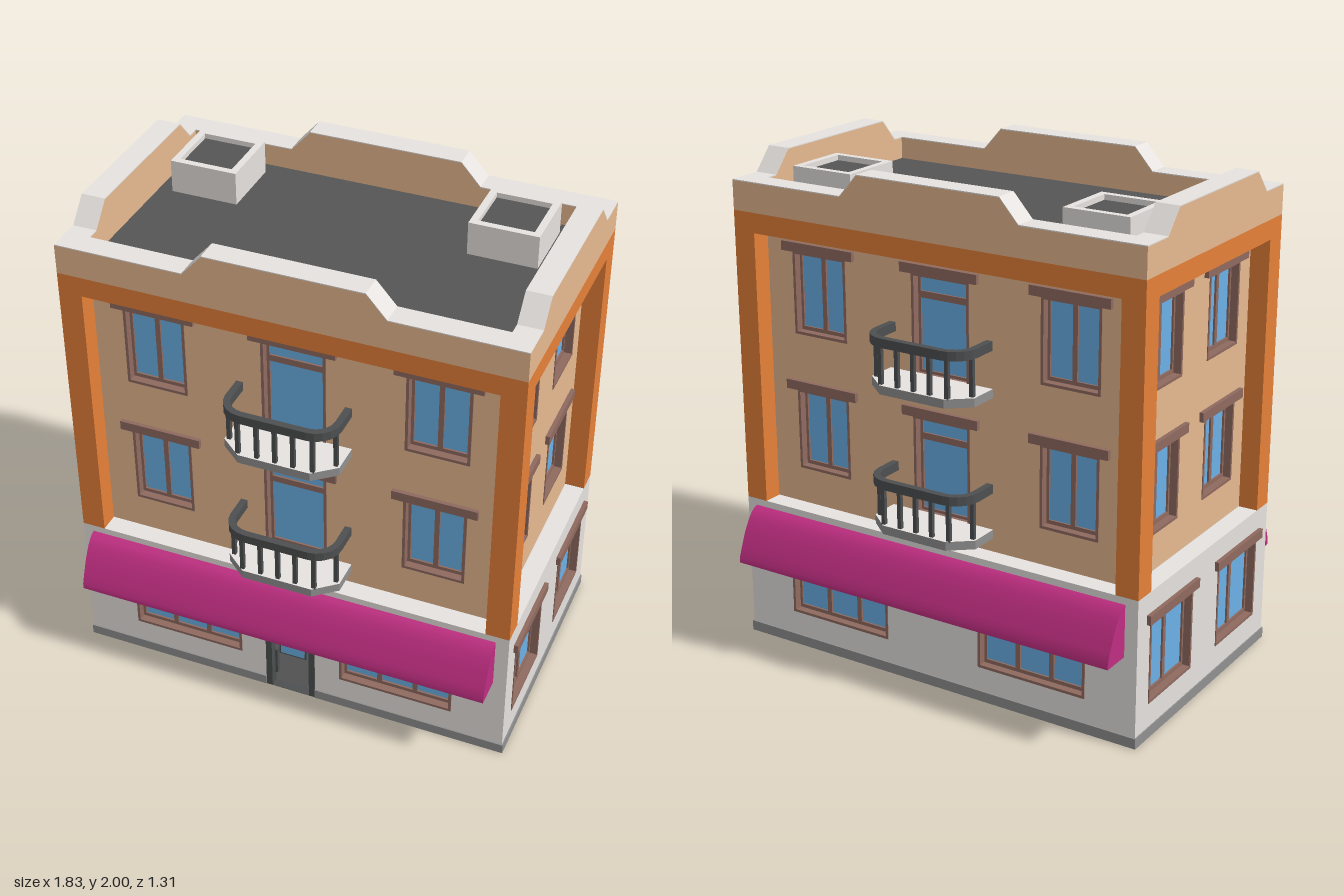
import * as THREE from 'three';

const mat = (name, color, side = THREE.FrontSide) => {
  const m = new THREE.MeshStandardMaterial({ color, side });
  m.name = name;
  return m;
};

export function createModel() {
  const M = {
    tan: mat('tan plaster', 0xe6b98f),
    orange: mat('orange trim', 0xe58039),
    stone: mat('light stone', 0xe6e2df),
    grey: mat('mid grey', 0x909090),
    door: mat('door grey', 0x7f7f7f),
    dark: mat('dark roof', 0x555555),
    iron: mat('dark iron', 0x4d4f50),
    brown: mat('brown wood', 0x8f6a5f),
    glass: mat('blue glass', 0x6cb3ea),
    pink: mat('magenta awning', 0xbf2e81, THREE.DoubleSide),
  };
  const model = new THREE.Group();
  model.name = 'building';

  const add = (parent, name, geo, material) => {
    const mesh = new THREE.Mesh(geo, material);
    mesh.name = name;
    parent.add(mesh);
    return mesh;
  };
  // box given by its minimum and maximum on each axis
  const box = (parent, name, material, x0, x1, y0, y1, z0, z1) =>
    add(parent, name, new THREE.BoxGeometry(x1 - x0, y1 - y0, z1 - z0), material)
      .position.set((x0 + x1) / 2, (y0 + y1) / 2, (z0 + z1) / 2);
  const poly = (pts) => new THREE.Shape(pts.map(([x, y]) => new THREE.Vector2(x, y)));
  const rect = (x0, x1, y0, y1) => poly([[x0, y0], [x1, y0], [x1, y1], [x0, y1]]);
  const extrude = (shape, depth) => new THREE.ExtrudeGeometry(shape, { depth, bevelEnabled: false });
  // horizontal slab from a plan drawn in x and z, with an optional hole
  const slab = (pts, y0, y1, hole) => {
    const flip = (list) => poly(list.map(([x, z]) => [x, -z]));
    const shape = flip(pts);
    if (hole) shape.holes.push(flip(hole));
    return extrude(shape, y1 - y0).rotateX(-Math.PI / 2).translate(0, y0, 0);
  };
  const group = (parent, name, x = 0, y = 0, z = 0, turn = 0) => {
    const g = new THREE.Group();
    g.name = name;
    g.position.set(x, y, z);
    g.rotation.y = turn;
    parent.add(g);
    return g;
  };
  const DEPTH = 0.045; // thickness of the pierced walls

  // window set back in its opening; transom is the height of a crossbar
  function addWindow(parent, z, { x, w, y0, y1, panes, over = 0.043, transom }) {
    const g = group(parent, 'window', x, 0, z);
    const edge = 0.022, rim = 0.011, bar = 0.02, h = w / 2;
    const casing = rect(-h, h, y0, y1);
    casing.holes.push(rect(-h + rim, h - rim, y0 + rim, y1 - rim));
    add(g, 'windowCasing', extrude(casing, 0.043), M.brown).position.z = -0.04;
    const sash = rect(-h + 0.005, h - 0.005, y0 + 0.005, y1 - 0.005);
    const pw = (w - 2 * edge - bar * (panes - 1)) / panes;
    const rows = transom ? [[y0 + edge, transom - 0.013], [transom + 0.013, y1 - 0.016]] : [[y0 + 0.026, y1 - 0.016]];
    for (let i = 0; i < panes; i++) {
      const px = -h + edge + i * (pw + bar);
      for (const [a, b] of rows) sash.holes.push(rect(px, px + pw, a, b));
    }
    add(g, 'windowSash', extrude(sash, 0.014), M.brown).position.z = -0.042;
    box(g, 'windowGlass', M.glass, -h + 0.01, h - 0.01, y0 + 0.01, y1 - 0.01, -0.041, -0.036);
    box(g, 'lintel', M.brown, -h - over, h + over, y1, y1 + 0.038, -0.01, 0.017);
  }

  // wall panel pierced by its windows, outer face at z
  function addWall(parent, name, material, shape, z, windows) {
    for (const o of windows) {
      shape.holes.push(rect(o.x - o.w / 2, o.x + o.w / 2, o.y0, o.y1));
      addWindow(parent, z, o);
    }
    add(parent, name, extrude(shape, DEPTH), material).position.z = z - DEPTH;
  }

  // Cores behind the walls, and the hollow base
  box(model, 'underside', M.grey, -0.89, 0.89, 0.03, 0.042, -0.525, 0.489);
  box(model, 'groundFloorCore', M.stone, -0.855, 0.855, 0.042, 0.6, -0.49, 0.49);
  box(model, 'upperCore', M.tan, -0.775, 0.775, 0.6, 1.71, -0.41, 0.41);
  const footprint = (x, z, doorX, doorZ) => [[-x, z], [-doorX, z], [-doorX, doorZ], [doorX, doorZ],
    [doorX, z], [x, z], [x, -z], [-x, -z]];
  add(model, 'baseRing', slab(footprint(0.9, 0.535, 0.106, 0.49), 0, 0.042, footprint(0.88, 0.515, 0.12, 0.475)), M.stone);
  for (const s of [-1, 1]) {
    const a = s < 0 ? -0.905 : 0.106, b = s < 0 ? -0.106 : 0.905;
    box(model, 'frontPlinth', M.grey, a, b, 0.001, 0.043, 0.525, 0.541);
    box(model, 'sidePlinth', M.grey, s * 0.8975 - 0.0075, s * 0.8975 + 0.0075, 0.001, 0.043, -0.541, 0.541);
  }
  box(model, 'backPlinth', M.grey, -0.905, 0.905, 0.001, 0.043, -0.541, -0.525);

  // Entrance door, set into the wall
  const door = group(model, 'door', 0, 0, 0.49);
  const doorFrame = rect(-0.106, 0.106, 0, 0.323);
  doorFrame.holes.push(rect(-0.08, 0.08, 0.001, 0.298));
  add(door, 'doorFrame', extrude(doorFrame, 0.048), M.iron);
  box(door, 'doorPanel', M.door, -0.08, 0.08, 0.002, 0.298, 0, 0.012);
  box(door, 'doorGlassTrim', M.iron, -0.061, 0.057, 0.16, 0.275, 0.012, 0.015);
  box(door, 'doorGlass', M.glass, -0.053, 0.049, 0.168, 0.267, 0.015, 0.018);
  box(door, 'doorHandle', M.iron, -0.074, -0.064, 0.06, 0.185, 0.012, 0.03);

  // Orange corner pillars and top band framing the upper floors
  for (const sx of [-1, 1]) for (const sz of [-1, 1])
    add(model, 'cornerPillar', new THREE.BoxGeometry(0.095, 1.11, 0.095), M.orange)
      .position.set(sx * 0.8525, 1.155, sz * 0.4875);
  box(model, 'topBand', M.orange, -0.9, 0.9, 1.71, 1.79, -0.535, 0.535);

  // Parapets with a raised middle and stone capping
  function addParapet(half, distance, turn) {
    const g = group(model, 'parapet', 0, 0, 0, turn);
    const top = [[-half, 1.91], [-0.39, 1.91], [-0.31, 2], [0.31, 2], [0.39, 1.91], [half, 1.91]];
    const low = top.map(([x, y]) => [x, y - 0.004]);
    const wall = poly([[-half, 1.79], [half, 1.79], ...[...low].reverse()]);
    add(g, 'parapetWall', extrude(wall, 0.095), M.tan).position.z = distance - 0.095;
    add(g, 'parapetCap', extrude(poly([...low, ...[...top].reverse()]), 0.095), M.stone).position.z = distance - 0.095;
  }
  for (const s of [0, 1]) {
    addParapet(0.805, 0.535, s * Math.PI);
    addParapet(0.535, 0.9, Math.PI / 2 + s * Math.PI);
  }

  // Roof deck and the two hatches
  box(model, 'roofDeck', M.dark, -0.806, 0.806, 1.79, 1.82, -0.441, 0.441);
  for (const x of [-0.612, 0.59]) {
    const g = group(model, 'roofHatch', x, 1.82, -0.245);
    const ring = rect(-0.136, 0.136, -0.136, 0.136);
    ring.holes.push(rect(-0.108, 0.108, -0.108, 0.108));
    add(g, 'hatchWalls', extrude(ring, 0.133).rotateX(-Math.PI / 2), M.stone);
    box(g, 'hatchCover', M.dark, -0.108, 0.108, 0, 0.112, -0.108, 0.108);
  }

  // Balcony: chamfered slab, round-cornered flat handrail, square balusters
  function addBalcony(parent, y) {
    const g = group(parent, 'balcony', 0, y, 0);
    const plan = [[0.23, 0.45], [0.23, 0.575], [0.143, 0.647], [-0.143, 0.647], [-0.23, 0.575], [-0.23, 0.45]];
    add(g, 'balconySlab', slab(plan, 0, 0.035), [M.stone, M.grey]);
    const corner = (r) => Array.from({ length: 6 }, (_, i) => {
      const a = (i / 5) * Math.PI / 2;
      return [0.13 + r * Math.cos(a), 0.55 + r * Math.sin(a)];
    });
    const half = (r) => [[0.13 + r, 0.45], ...corner(r)];
    const mirror = (pts) => pts.map(([x, z]) => [-x, z]).reverse();
    const outer = half(0.1), inner = half(0.073);
    add(g, 'handrail', slab([...outer, ...mirror(outer), ...mirror(inner).reverse(), ...[...inner].reverse()], 0.183, 0.219), M.iron);
    const posts = [[0, 0.632], [0.072, 0.632], [0.148, 0.63], [0.213, 0.565],
      [-0.072, 0.632], [-0.148, 0.63], [-0.213, 0.565]];
    for (const [x, z] of posts)
      box(g, 'baluster', M.iron, x - 0.008, x + 0.008, 0.03, 0.19, z - 0.008, z + 0.008);
  }

  // Curved awning, open below, with closed ends
  function addAwning(parent) {
    const g = group(parent, 'awning', -0.005, 0, 0);
    const profile = [[0.535, 0.572], [0.56, 0.562], [0.585, 0.535], [0.615, 0.485], [0.642, 0.42], [0.655, 0.385], [0.655, 0.362]];
    const half = 0.852, pos = [], idx = [];
    profile.forEach(([z, y], i) => {
      pos.push(-half, y, z, half, y, z);
      if (i) idx.push(2 * i - 2, 2 * i, 2 * i - 1, 2 * i - 1, 2 * i, 2 * i + 1);
    });
    const sheet = new THREE.BufferGeometry();
    sheet.setAttribute('position', new THREE.Float32BufferAttribute(pos, 3));
    sheet.setIndex(idx);
    sheet.computeVertexNormals();
    add(g, 'awningSheet', sheet, M.pink);
    const end = poly([[-0.535, 0.362], ...profile.map(([z, y]) => [-z, y])]);
    for (const s of [-1, 1])
      add(g, 'awningEnd', new THREE.ShapeGeometry(end).rotateY(Math.PI / 2), M.pink).position.x = s * half;
  }

  // Front and back share windows, balconies and awnings
  const floors = [0, 0.562];
  const casement = (x, dy) => ({ x, w: 0.25, y0: 0.747 + dy, y1: 1.08 + dy, panes: 2 });
  for (const turn of [0, Math.PI]) {
    const face = group(model, turn ? 'backFace' : 'frontFace', 0, 0, 0, turn);
    const upper = floors.flatMap((dy) => [casement(-0.559, dy), casement(0.561, dy),
      { x: 0, w: 0.256, y0: 0.675 + dy, y1: 1.08 + dy, panes: 1, transom: 0.992 + dy }]);
    addWall(face, 'upperWall', M.tan, rect(-0.82, 0.82, 0.6, 1.71), 0.455, upper);
    for (const dy of floors) addBalcony(face, 0.655 + dy);
    const shop = turn ? rect(-0.9, 0.9, 0.042, 0.6) : poly([[-0.9, 0.042], [-0.106, 0.042], [-0.106, 0.323],
      [0.106, 0.323], [0.106, 0.042], [0.9, 0.042], [0.9, 0.6], [-0.9, 0.6]]);
    addWall(face, 'shopWall', M.stone, shop, 0.535,
      [-0.448, 0.448].map((x) => ({ x, w: 0.472, y0: 0.143, y1: 0.477, panes: 3 })));
    addAwning(face);
  }

  // Side walls
  for (const s of [-1, 1]) {
    const face = group(model, s > 0 ? 'leftFace' : 'rightFace', 0, 0, 0, s * Math.PI / 2);
    addWall(face, 'upperSideWall', M.tan, rect(-0.41, 0.41, 0.6, 1.71), 0.82,
      floors.flatMap((dy) => [casement(-0.226, dy), casement(0.226, dy)]));
    addWall(face, 'lowerSideWall', M.stone, rect(-0.49, 0.49, 0.042, 0.6), 0.9,
      [-0.273, 0.273].map((x) => ({ x, w: 0.336, y0: 0.143, y1: 0.477, panes: 2, over: 0.026 })));
  }
  return model;
}
